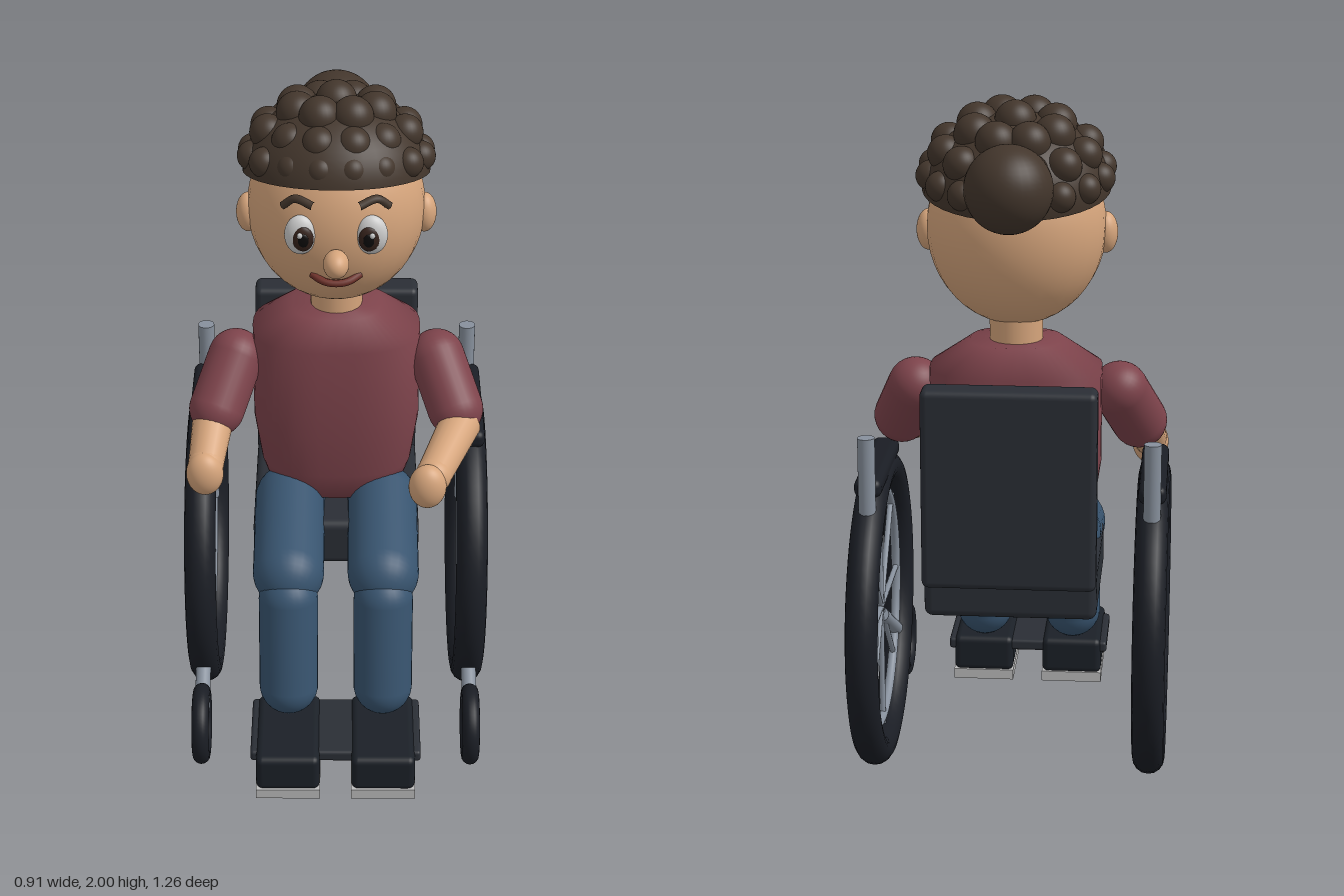
import * as THREE from 'three';
import { RoundedBoxGeometry } from 'three/addons/geometries/RoundedBoxGeometry.js';

const mat = (color) => new THREE.MeshStandardMaterial({ color });
const M = {
  skin: mat(0xd6a57c), hair: mat(0x43362c), shirt: mat(0x7d434b), jeans: mat(0x38546f),
  rubber: mat(0x1a1d24), seat: mat(0x2a2e35), metal: mat(0x87909c), shoe: mat(0x1b2027),
  sole: mat(0xbbbbbb), white: mat(0xf2f2f2), iris: mat(0x35221b), pupil: mat(0x0c0a0a), lip: mat(0x6e3028),
};
const V = (x, y, z) => new THREE.Vector3(x, y, z);
const UP = V(0, 1, 0);

export function createModel() {
  const root = new THREE.Group();
  root.name = 'wheelchairUser';

  const add = (name, geo, material, pos = V(0, 0, 0), parent = root) => {
    const m = new THREE.Mesh(geo, material);
    m.name = name;
    m.position.copy(pos);
    parent.add(m);
    return m;
  };
  const box = (name, w, h, d, r, material, pos, parent) =>
    add(name, new RoundedBoxGeometry(w, h, d, 3, r), material, pos, parent);
  const ball = (name, rx, ry, rz, material, pos, parent) => {
    const m = add(name, new THREE.SphereGeometry(1, 32, 24), material, pos, parent);
    m.scale.set(rx, ry, rz);
    return m;
  };
  // Solid between two points: rounded ends, or flat ends with an optional taper
  const between = (name, geo, a, b, material) => {
    const m = add(name, geo, material, a.clone().lerp(b, 0.5));
    m.quaternion.setFromUnitVectors(UP, b.clone().sub(a).normalize());
    return m;
  };
  const limb = (name, a, b, r, material) =>
    between(name, new THREE.CapsuleGeometry(r, a.distanceTo(b), 10, 28), a, b, material);
  const rod = (name, a, b, ra, rb, material) =>
    between(name, new THREE.CylinderGeometry(rb, ra, a.distanceTo(b), 20), a, b, material);
  const tube = (name, pts, r, material) =>
    add(name, new THREE.TubeGeometry(new THREE.CatmullRomCurve3(pts), 16, r, 8), material);

  // Chair seat, backrest and footplate
  box('seatCushion', 0.5, 0.15, 0.49, 0.025, M.seat, V(0, 0.61, -0.135));
  box('backrest', 0.5, 0.59, 0.095, 0.02, M.seat, V(0, 0.941, -0.395));
  box('footplate', 0.505, 0.035, 0.26, 0.01, M.seat, V(0, 0.168, 0.45));

  for (const s of [-1, 1]) {
    const side = s > 0 ? 'left' : 'right';
    const x = 0.406 * s;

    // Drive wheel
    const wheel = new THREE.Group();
    wheel.name = side + 'Wheel';
    wheel.position.set(x, 0.477, -0.157);
    root.add(wheel);
    const ring = (name, R, r, material, pos, parent) => {
      add(name, new THREE.TorusGeometry(R, r, 16, 64), material, pos, parent).rotation.y = Math.PI / 2;
    };
    ring('tire', 0.424, 0.047, M.rubber, V(0, 0, 0), wheel);
    ring('pushRim', 0.352, 0.014, M.metal, V(0, 0, 0), wheel);
    for (let i = 0; i < 4; i++)
      add('spoke', new THREE.CylinderGeometry(0.009, 0.009, 0.78, 10), M.metal, V(0, 0, 0), wheel)
        .rotation.x = i * Math.PI / 4;

    // Caster, fork, push handle and armrest
    ring(side + 'Caster', 0.096, 0.026, M.rubber, V(x, 0.148, 0.397), root);
    rod(side + 'CasterArm', V(x, 0.445, -0.14), V(x, 0.17, 0.37), 0.021, 0.023, M.metal);
    rod(side + 'PushHandle', V(x, 0.45, -0.405), V(x, 1.085, -0.405), 0.025, 0.025, M.metal);
    box(side + 'Armrest', 0.08, 0.055, 0.435, 0.022, M.rubber, V(x, 0.927, -0.185));

    // Leg and shoe
    const lx = 0.141 * s;
    limb(side + 'Thigh', V(lx, 0.685, -0.03), V(lx, 0.615, 0.268), 0.106, M.jeans);
    limb(side + 'Shin', V(lx, 0.56, 0.32), V(lx, 0.28, 0.373), 0.088, M.jeans);
    box(side + 'Shoe', 0.188, 0.115, 0.32, 0.02, M.shoe, V(lx, 0.138, 0.47));
    add(side + 'Sole', new THREE.BoxGeometry(0.19, 0.032, 0.325), M.sole, V(lx, 0.07, 0.47));

    // Upper arm
    limb(side + 'UpperArm', V(0.3 * s, 1.153, -0.09), V(0.355 * s, 1.03, 0.01), 0.083, M.shirt);

    // Ear, eye and brow
    ball(side + 'Ear', 0.035, 0.06, 0.043, M.skin, V(0.255 * s, 1.625, -0.107));
    ball(side + 'EyeWhite', 0.046, 0.06, 0.03, M.white, V(0.1 * s, 1.655, 0.098));
    ball(side + 'Iris', 0.03, 0.038, 0.014, M.iris, V(0.093 * s, 1.652, 0.12));
    ball(side + 'Pupil', 0.016, 0.021, 0.007, M.pupil, V(0.092 * s, 1.652, 0.13));
    ball(side + 'Glint', 0.008, 0.009, 0.006, M.white, V(0.102 * s, 1.668, 0.133));
    tube(side + 'Brow', [V(0.15 * s, 1.738, 0.082), V(0.115 * s, 1.765, 0.094), V(0.065 * s, 1.752, 0.115)],
      0.012, M.hair);
  }

  // Forearms: the left reaches forward and inward, the right rests by its wheel
  const forearms = [
    ['left', V(0.37, 1.0, 0.04), V(0.285, 0.95, 0.25), V(0.266, 0.935, 0.288)],
    ['right', V(-0.365, 1.01, 0.02), V(-0.383, 0.93, 0.16), V(-0.386, 0.91, 0.182)],
  ];
  for (const [side, elbow, wrist, palm] of forearms) {
    rod(side + 'Forearm', elbow, wrist, 0.062, 0.052, M.skin);
    ball(side + 'Wrist', 0.053, 0.053, 0.053, M.skin, wrist);
    ball(side + 'Hand', 0.055, 0.069, 0.046, M.skin, palm);
  }

  // Torso lofted through rounded sections [y, half width, half depth]
  const levels = [[0.715, 0.001, 0.001], [0.715, 0.2, 0.155], [0.8, 0.228, 0.17], [0.95, 0.25, 0.186],
    [1.236, 0.25, 0.186], [1.315, 0.133, 0.122], [1.315, 0.001, 0.001]];
  const N = 48, pos = [], idx = [];
  levels.forEach(([y, hx, hz], k) => {
    for (let i = 0; i < N; i++) {
      const a = i / N * Math.PI * 2, c = Math.cos(a), s = Math.sin(a);
      pos.push(hx * Math.sign(c) * Math.abs(c) ** 0.75, y, hz * Math.sign(s) * Math.abs(s) ** 0.75);
      if (k) {
        const p = (k - 1) * N + i, q = (k - 1) * N + (i + 1) % N;
        idx.push(p, p + N, q, q, p + N, q + N);
      }
    }
  });
  const torso = new THREE.BufferGeometry();
  torso.setAttribute('position', new THREE.Float32BufferAttribute(pos, 3));
  torso.setIndex(idx);
  torso.computeVertexNormals();
  add('torso', torso, M.shirt, V(0, 0, -0.14));

  // Neck, head, nose and mouth
  rod('neck', V(0, 1.28, -0.137), V(0, 1.42, -0.137), 0.077, 0.077, M.skin);
  ball('head', 0.258, 0.285, 0.24, M.skin, V(0, 1.643, -0.12));
  ball('nose', 0.037, 0.04, 0.048, M.skin, V(0, 1.587, 0.148));
  tube('mouth', [V(-0.07, 1.522, 0.082), V(-0.035, 1.508, 0.102), V(0, 1.504, 0.107),
    V(0.035, 1.508, 0.102), V(0.07, 1.522, 0.082)], 0.011, M.lip);

  // Hair: tilted cap, rings of curls and a bun
  const hair = new THREE.Group();
  hair.name = 'hair';
  hair.position.set(0, 1.755, -0.12);
  hair.rotation.x = -0.2;
  root.add(hair);
  const cap = add('hairCap', new THREE.SphereGeometry(1, 40, 16, 0, Math.PI * 2, 0, Math.PI / 2), M.hair, V(0, 0, 0), hair);
  cap.scale.set(0.27, 0.215, 0.248);
  const under = add('hairUnderside', new THREE.CircleGeometry(1, 40), M.hair, V(0, 0, 0), hair);
  under.rotation.x = Math.PI / 2;
  under.scale.set(0.27, 0.248, 1);
  // [polar angle, count, curl radius]
  for (const [t, n, r] of [[0, 1, 0.06], [0.5, 8, 0.06], [0.93, 12, 0.052], [1.32, 16, 0.044]])
    for (let i = 0; i < n; i++) {
      const a = (i + 0.5) / n * Math.PI * 2;
      // Curls flatten into the cap above the forehead
      const k = t > 0.9 && Math.sin(a) > 0.6 ? 0.87 : 0.95;
      ball('curl', r, r, r, M.hair, V(0.265 * k * Math.sin(t) * Math.cos(a),
        0.21 * k * Math.cos(t), 0.243 * k * Math.sin(t) * Math.sin(a)), hair);
    }
  ball('hairBun', 0.124, 0.124, 0.124, M.hair, V(0, 1.805, -0.405));

  return root;
}
